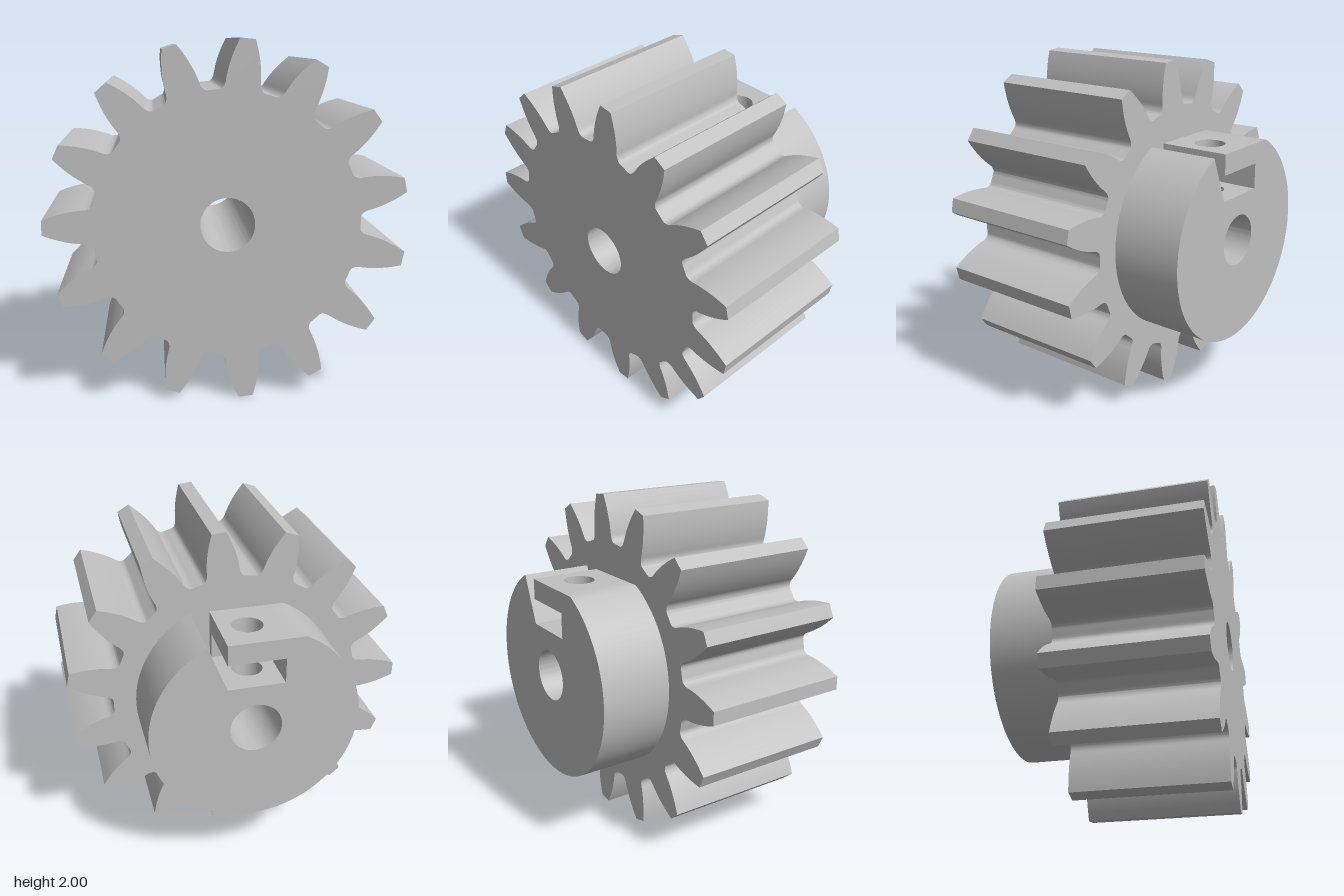
import * as THREE from 'three';
import { toCreasedNormals } from 'three/addons/utils/BufferGeometryUtils.js';

const TEETH = 15, BORE = 0.15, COLLAR = 0.605, FLAT = 0.54;
const FRONT = 0.65, STEP = -0.235, BACK = -0.65;
const SLOT_X = 0.163, SLOT_LOW = 0.27, SLOT_HIGH = 0.42, SLOT_END = -0.28;
const SCREW_R = 0.0875, SCREW_Z = -0.443, NECK = 0.1;

const metal = new THREE.MeshStandardMaterial({ color: 0xc0c0c0 });
metal.name = 'plain grey';

function addPart(group, name, geometry) {
  const mesh = new THREE.Mesh(toCreasedNormals(geometry, 0.5), metal);
  mesh.name = name;
  group.add(mesh);
}

function extrude(shape, depth) {
  return new THREE.ExtrudeGeometry(shape, { depth, bevelEnabled: false, curveSegments: 48 });
}

// Outline of all teeth, made from one flank given as [degrees from tooth axis, radius]
function gearShape() {
  const flank = [[2.3, 1.002], [4.1, 0.93], [5.6, 0.86], [6.6, 0.8], [7.1, 0.766],
    [8.1, 0.745], [9.3, 0.736], [12, 0.735]].map(([a, r]) => new THREE.Vector2(a, r));
  const half = new THREE.SplineCurve(flank).getPoints(21);
  const gap = [...half, ...half.slice(0, -1).reverse().map(p => new THREE.Vector2(24 - p.x, p.y))];
  const points = [];
  for (let i = 0; i < TEETH; i++) {
    for (const p of gap) {
      const a = THREE.MathUtils.degToRad(180 + i * 360 / TEETH + p.x);
      points.push(new THREE.Vector2(p.y * Math.cos(a), p.y * Math.sin(a)));
    }
  }
  const shape = new THREE.Shape(points);
  shape.holes.push(new THREE.Path().absarc(0, 0, BORE, 0, Math.PI * 2, true));
  return shape;
}

// Flat-topped ring, open at the top where the slot and screw blocks fit
function collarShape() {
  const a = Math.asin(FLAT / COLLAR), b = Math.acos(NECK / BORE);
  const s = new THREE.Shape();
  s.moveTo(SLOT_X, FLAT);
  s.absarc(0, 0, COLLAR, a, Math.PI - a, true);
  s.lineTo(-SLOT_X, FLAT);
  s.lineTo(-SLOT_X, SLOT_LOW);
  s.lineTo(-NECK, SLOT_LOW);
  s.absarc(0, 0, BORE, Math.PI - b, b, false);
  s.lineTo(NECK, SLOT_LOW);
  s.lineTo(SLOT_X, SLOT_LOW);
  return s;
}

// Upright block pierced by the screw hole
function screwBlock(halfWidth, low, high) {
  const outline = [];
  for (let i = 0; i <= 10; i++) outline.push(new THREE.Vector2(halfWidth * (i / 5 - 1), -STEP));
  for (let i = 10; i >= 0; i--) outline.push(new THREE.Vector2(halfWidth * (i / 5 - 1), -BACK));
  const shape = new THREE.Shape(outline);
  shape.holes.push(new THREE.Path().absarc(0, -SCREW_Z, SCREW_R, 0, Math.PI * 2, true));
  return extrude(shape, high - low).rotateX(-Math.PI / 2).translate(0, low, 0);
}

export function createModel() {
  const model = new THREE.Group();
  model.name = 'pinionGear';
  const body = new THREE.Group();
  body.name = 'gearBody';
  body.position.set(0.004, 1, 0);
  model.add(body);

  addPart(body, 'toothedWheel', extrude(gearShape(), FRONT - STEP).translate(0, 0, STEP));
  addPart(body, 'collar', extrude(collarShape(), STEP - BACK).translate(0, 0, BACK));
  addPart(body, 'collarFlat', screwBlock(SLOT_X, SLOT_HIGH, FLAT));

  // Lower screw block, its underside bent to follow the bore
  const lower = screwBlock(NECK, 0, SLOT_LOW);
  const pos = lower.attributes.position;
  for (let i = 0; i < pos.count; i++) {
    const x = pos.getX(i);
    if (pos.getY(i) < 0.01) pos.setY(i, Math.sqrt(BORE * BORE - x * x));
  }
  addPart(body, 'screwHoleNeck', lower);

  // Closed end of the nut slot
  const end = new THREE.BoxGeometry(SLOT_X * 2, SLOT_HIGH - SLOT_LOW, STEP - SLOT_END);
  end.translate(0, (SLOT_HIGH + SLOT_LOW) / 2, (STEP + SLOT_END) / 2);
  addPart(body, 'slotEnd', end);

  return model;
}
